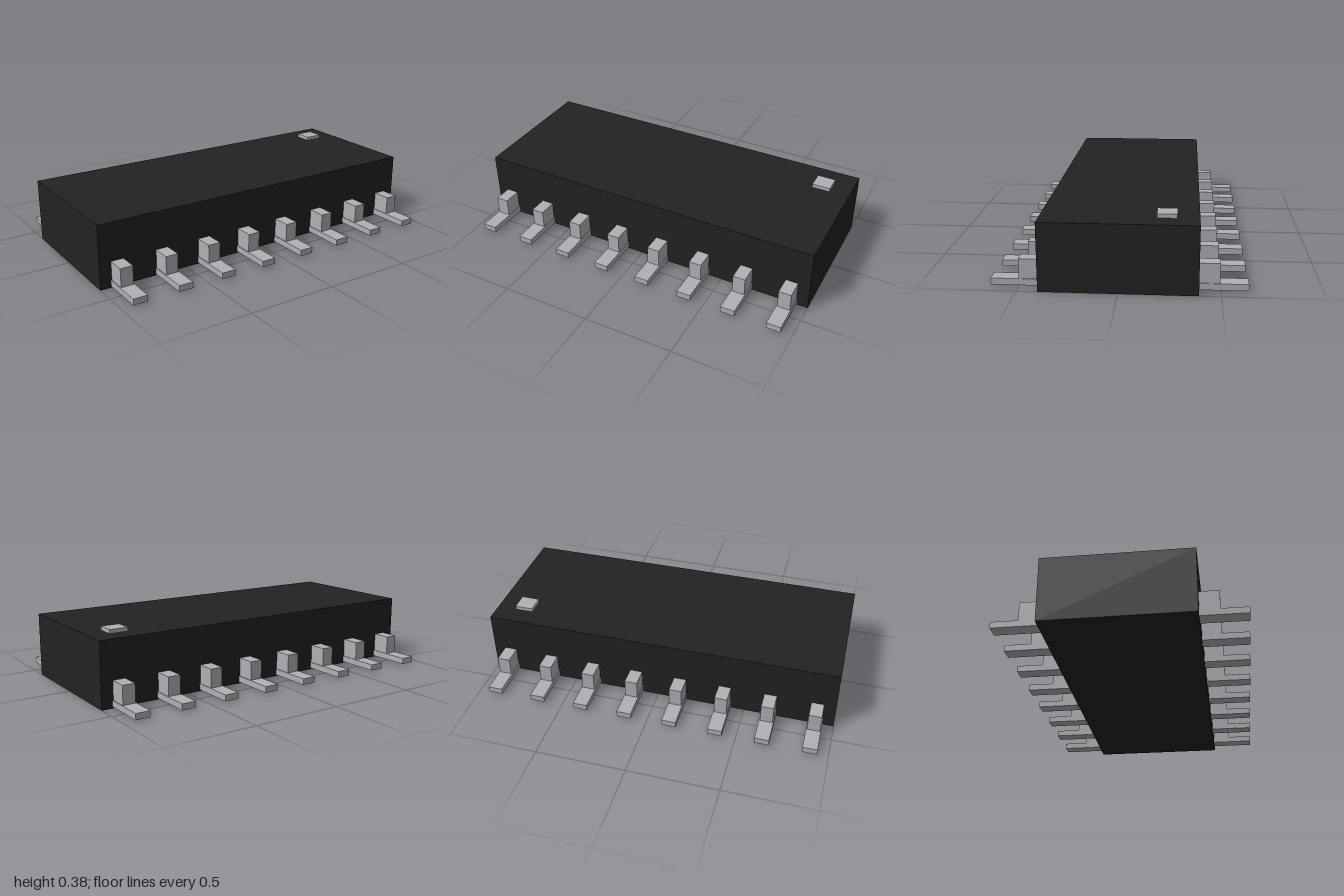
import * as THREE from 'three';

export function createModel() {
  const model = new THREE.Group();
  model.name = 'chipPackage';

  const plastic = new THREE.MeshStandardMaterial({ color: 0x222222 });
  plastic.name = 'black plastic';
  const metal = new THREE.MeshStandardMaterial({ color: 0xb0b0b5 });
  metal.name = 'grey metal';

  // Box given by its minimum and maximum corners
  function box(name, material, min, max, parent = model) {
    const size = max.map((v, i) => v - min[i]);
    const mesh = new THREE.Mesh(new THREE.BoxGeometry(...size), material);
    mesh.position.set(...max.map((v, i) => (v + min[i]) / 2));
    mesh.name = name;
    parent.add(mesh);
  }

  // Package body and the raised pin-one marker
  box('body', plastic, [-1, 0, -0.393], [1, 0.355, 0.393]);
  box('pinOneMarker', metal, [0.787, 0.35, -0.283], [0.89, 0.376, -0.183]);

  // Eight leads along each long side: an upright shoulder over a flat foot
  const count = 8;
  for (const side of [1, -1]) {
    const row = new THREE.Group();
    row.name = side > 0 ? 'frontLeads' : 'backLeads';
    row.rotation.y = side > 0 ? 0 : Math.PI;
    for (let i = 0; i < count; i++) {
      const lead = new THREE.Group();
      lead.name = 'lead';
      lead.position.x = -0.9 + (1.8 * i) / (count - 1);
      box('leadFoot', metal, [-0.04, 0.008, 0.38], [0.04, 0.042, 0.636], lead);
      box('leadShoulder', metal, [-0.035, 0.01, 0.38], [0.035, 0.145, 0.496], lead);
      row.add(lead);
    }
    model.add(row);
  }
  return model;
}
